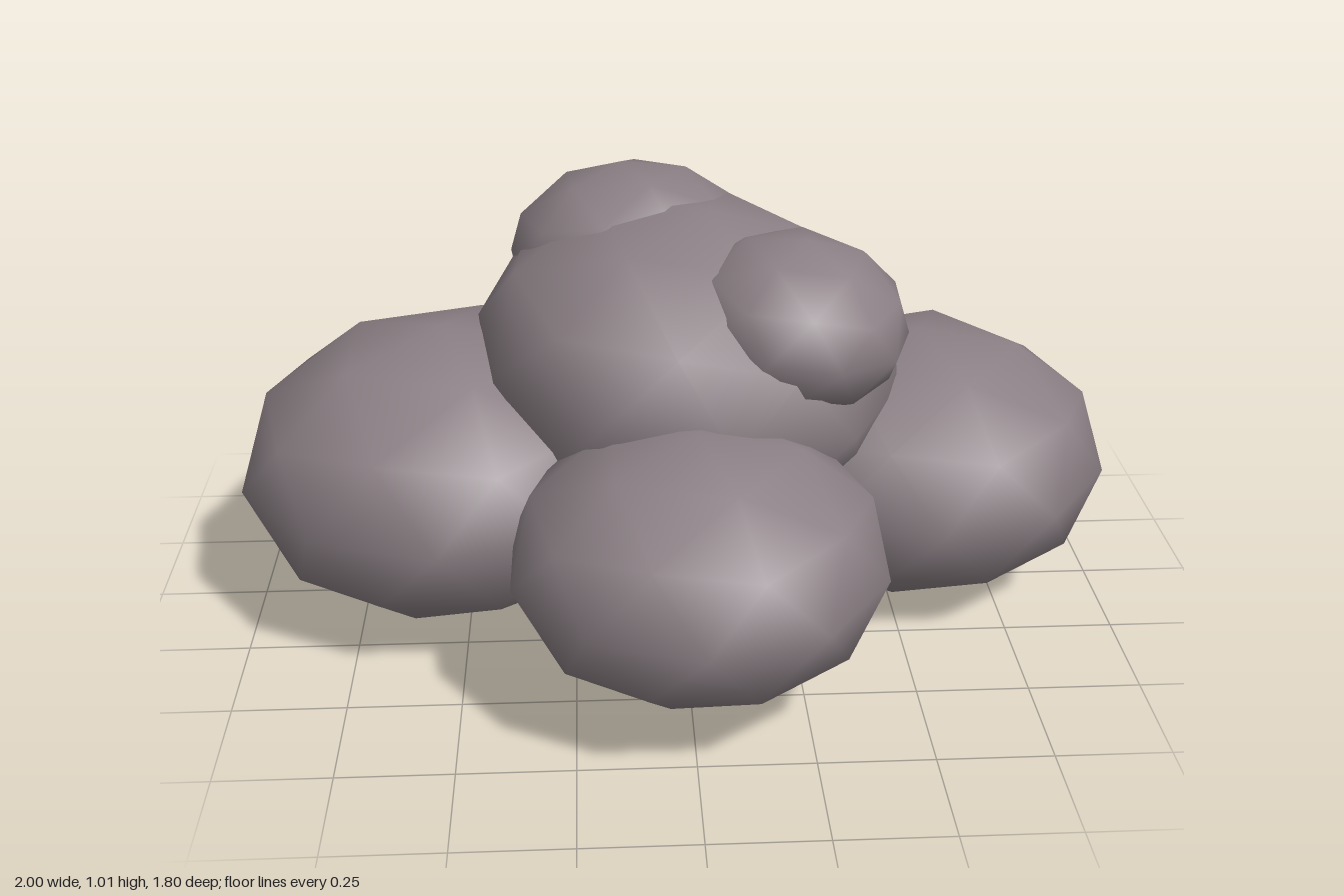
import * as THREE from 'three';

export function createModel() {
  const group = new THREE.Group();
  group.name = 'cloud';
  const smokeGrey = new THREE.MeshStandardMaterial({ color: 0x8a7f84 });
  smokeGrey.name = 'smokeGrey';

  // Smooth low-poly ball standing on a corner, so its equator is a decagon
  const ball = new THREE.IcosahedronGeometry(1, 1);
  ball.rotateZ(-Math.atan2(2, 1 + Math.sqrt(5)));

  // Flattened puff: name, centre, radius, height factor, tilt
  function puff(name, center, radius, flat = 0.7, tilt = [0, 0, 0]) {
    const mesh = new THREE.Mesh(ball, smokeGrey);
    mesh.name = name;
    mesh.position.set(...center);
    mesh.scale.set(radius, radius * flat, radius);
    mesh.rotation.set(...tilt);
    group.add(mesh);
  }

  // Four lower puffs in a cross
  puff('rightPuff', [-0.54, 0.352, -0.005], 0.485);
  puff('leftPuff', [0.57, 0.318, -0.07], 0.45);
  puff('frontPuff', [0.015, 0.353, 0.482], 0.414);
  puff('backPuff', [0.083, 0.39, -0.487], 0.414);

  // Main body above them
  puff('centrePuff', [0.022, 0.622, -0.003], 0.494, 0.71, [0.1, 0.15, -0.12]);

  // Two small puffs on top
  puff('topPuff', [-0.11, 0.815, -0.175], 0.285, 0.7, [-0.1, 0.1, 0.08]);
  puff('shoulderPuff', [0.245, 0.765, 0.175], 0.256, 0.74, [0.12, 0.3, -0.15]);

  return group;
}
